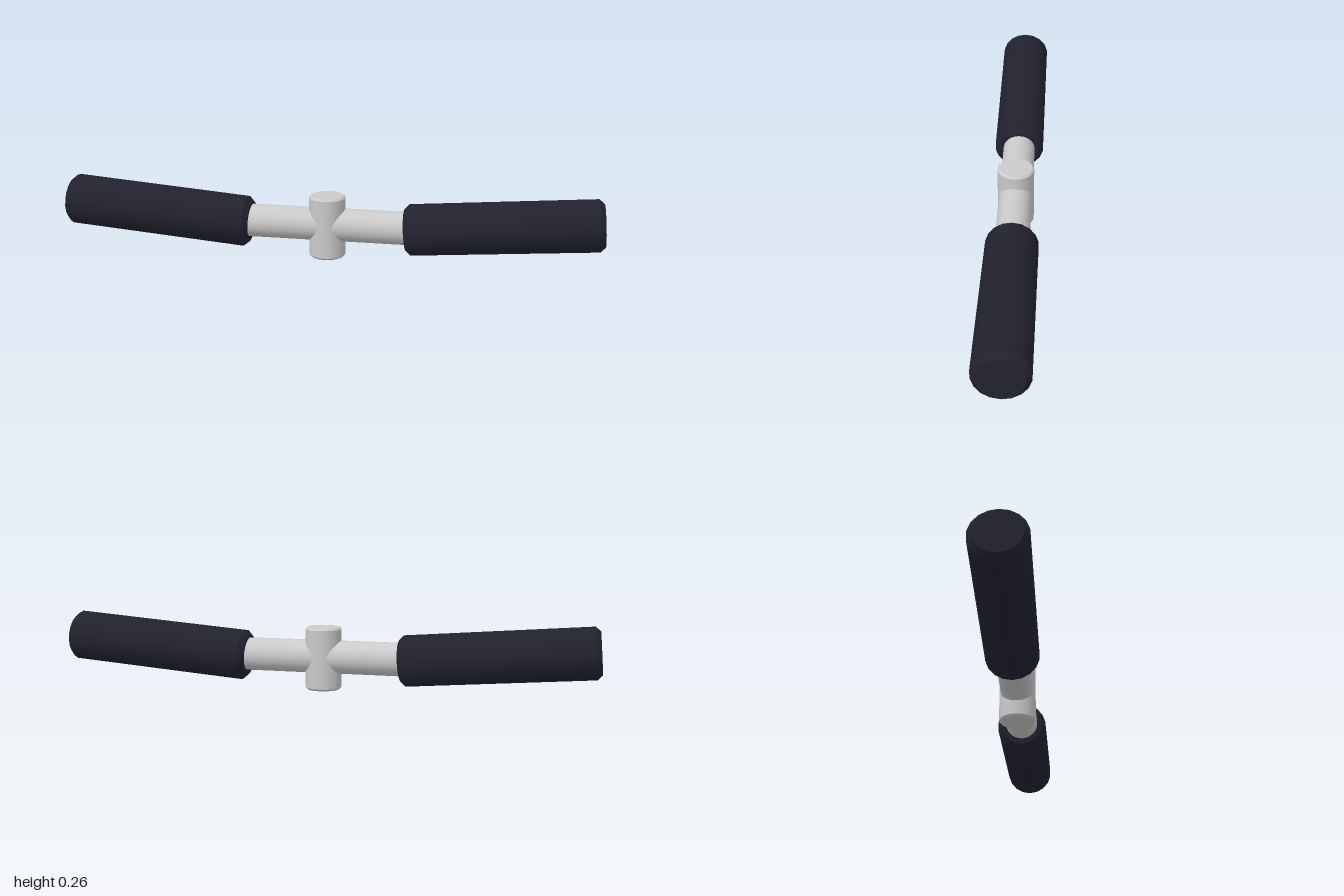
import * as THREE from 'three';
import { toCreasedNormals } from 'three/addons/utils/BufferGeometryUtils.js';

const metal = new THREE.MeshStandardMaterial({ color: 0xcacaca });
metal.name = 'brushedMetal';
const rubber = new THREE.MeshStandardMaterial({ color: 0x22222f });
rubber.name = 'darkRubber';

// Closed rod along y, centred on its middle, with chamfered ends
function chamferedRod(radius, length, inset, chamfer, sides) {
  const h = length / 2;
  const profile = [
    [0, -h], [radius - inset, -h], [radius, -h + chamfer],
    [radius, h - chamfer], [radius - inset, h], [0, h],
  ].map(([r, y]) => new THREE.Vector2(r, y));
  // a vertex line points along x, which becomes up once the rod lies down
  return toCreasedNormals(new THREE.LatheGeometry(profile, sides, Math.PI / 2), 0.5);
}

function addMesh(parent, name, geometry, material) {
  const mesh = new THREE.Mesh(geometry, material);
  mesh.name = name;
  parent.add(mesh);
  return mesh;
}

export function createModel() {
  const model = new THREE.Group();
  model.name = 'handlebar';

  // Upright centre post
  const post = addMesh(model, 'centrePost', chamferedRod(0.067, 0.23, 0.007, 0.007, 32), metal);
  post.position.y = 0.115;

  // Horizontal bar through the post, ending inside the grips
  const barGeometry = new THREE.CylinderGeometry(0.061, 0.061, 0.7, 32).rotateZ(-Math.PI / 2);
  addMesh(model, 'crossBar', barGeometry, metal).position.y = 0.12;

  // Grips, tilted up towards their outer ends
  const gripGeometry = chamferedRod(0.094, 0.706, 0.017, 0.018, 18).rotateZ(-Math.PI / 2);
  for (const side of [1, -1]) {
    const grip = addMesh(model, side > 0 ? 'leftGrip' : 'rightGrip', gripGeometry, rubber);
    grip.position.set(side * 0.641, 0.142, 0);
    grip.rotation.z = side * 0.08;
  }

  return model;
}
